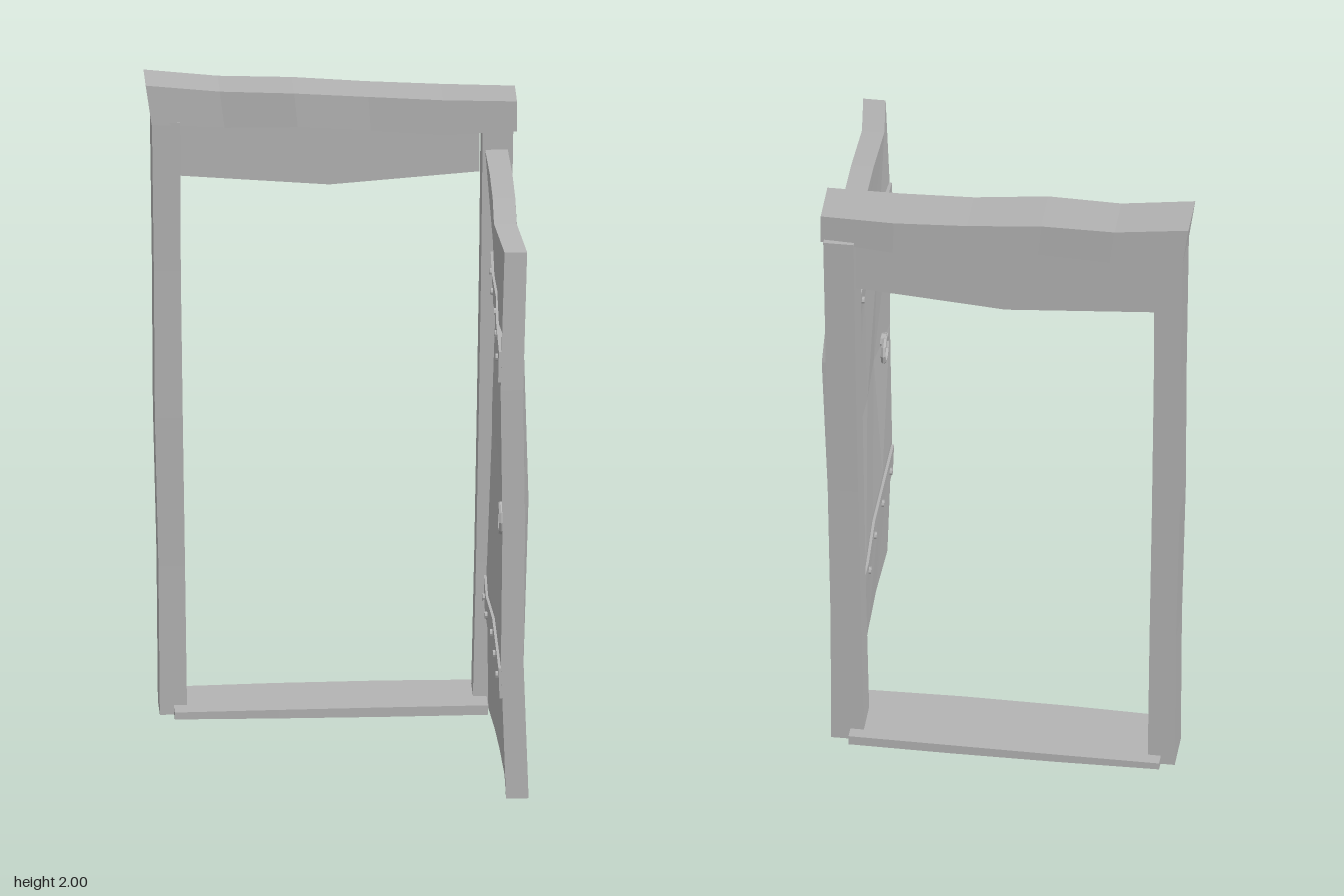
import * as THREE from 'three';

// Piecewise-linear lookup in an evenly spaced table, t from 0 to 1
function at(table, t) {
  const f = THREE.MathUtils.clamp(t, 0, 1) * (table.length - 1);
  const i = Math.min(Math.floor(f), table.length - 2);
  return THREE.MathUtils.lerp(table[i], table[i + 1], f - i);
}

// Unit box whose corners (u, v, w in 0..1) are moved by a rule
function warpedBox(segments, rule) {
  const geo = new THREE.BoxGeometry(1, 1, 1, ...segments);
  const pos = geo.attributes.position;
  for (let i = 0; i < pos.count; i++) {
    pos.setXYZ(i, ...rule(pos.getX(i) + 0.5, pos.getY(i) + 0.5, pos.getZ(i) + 0.5));
  }
  const flat = geo.toNonIndexed();
  flat.computeVertexNormals();
  return flat;
}

// Door surface: outer-face x by height (rows) and from hinge to free edge (columns)
const doorOuter = [
  [0.535, 0.545, 0.55, 0.555, 0.55],
  [0.53, 0.525, 0.535, 0.535, 0.535],
  [0.545, 0.555, 0.55, 0.56, 0.54],
  [0.56, 0.55, 0.555, 0.545, 0.535],
  [0.525, 0.53, 0.53, 0.525, 0.548],
];
const doorTop = [1.775, 1.765, 1.755, 1.74, 1.715];
const doorBottom = [0, 0.005, 0.012, 0.004, 0];
const hingeZ = [-0.345, -0.355, -0.365, -0.378, -0.335];
const freeZ = [0.503, 0.497, 0.487, 0.475, 0.45];

function doorPoint(u, v, w) {
  const x = at(doorOuter.map((row) => at(row, w)), v) - 0.068 * (1 - u);
  const y = THREE.MathUtils.lerp(at(doorBottom, w), at(doorTop, w), v);
  const z = THREE.MathUtils.lerp(at(hingeZ, v), at(freeZ, v), w);
  return [x, y, z];
}

export function createModel() {
  const model = new THREE.Group();
  model.name = 'openDoorway';
  const grey = new THREE.MeshStandardMaterial({ color: 0xb3b3b3 });
  grey.name = 'plain grey';
  grey.flatShading = true;

  const add = (name, geo, parent = model) => {
    const mesh = new THREE.Mesh(geo, grey);
    mesh.name = name;
    parent.add(mesh);
    return mesh;
  };

  // Crooked door posts
  const post = (x0, x1, z0, z1, height) => warpedBox([1, 4, 1], (u, v, w) => [
    THREE.MathUtils.lerp(at(x0, v), at(x1, v), u),
    v * height,
    THREE.MathUtils.lerp(at(z0, v), at(z1, v), w),
  ]);
  add('rightPost', post(
    [-0.522, -0.526, -0.537, -0.54, -0.546], [-0.44, -0.446, -0.453, -0.459, -0.461],
    [-0.46, -0.463, -0.462, -0.465, -0.466], [-0.325, -0.33, -0.325, -0.325, -0.32], 1.88));
  add('leftPost', post(
    [0.42, 0.43, 0.438, 0.445, 0.45], [0.52, 0.522, 0.53, 0.535, 0.542],
    [-0.46, -0.462, -0.465, -0.47, -0.477], [-0.345, -0.345, -0.342, -0.34, -0.335], 1.85));

  // Sagging lintel
  const lintelTop = [2, 1.975, 1.97, 1.952, 1.94, 1.935];
  const lintelBottom = [1.875, 1.86, 1.863, 1.845, 1.83, 1.84];
  const lintelBack = [-0.47, -0.475, -0.468, -0.472, -0.472, -0.46];
  const lintelFront = [-0.318, -0.326, -0.313, -0.324, -0.318, -0.312];
  add('lintel', warpedBox([5, 1, 1], (u, v, w) => [
    THREE.MathUtils.lerp(THREE.MathUtils.lerp(-0.547, -0.565, v), 0.552, u),
    THREE.MathUtils.lerp(at(lintelBottom, u), at(lintelTop, u), v),
    THREE.MathUtils.lerp(at(lintelBack, u), at(lintelFront, u), w),
  ]));

  // Board under the lintel, dipping in the middle
  add('headBoard', warpedBox([2, 1, 1], (u, v, w) => [
    -0.46 + u * 0.905,
    THREE.MathUtils.lerp(at([1.675, 1.64, 1.675], u), at([1.89, 1.875, 1.86], u), v),
    -0.455 + w * 0.025,
  ]));

  // Threshold, just clear of the ground
  add('threshold', warpedBox([3, 1, 1], (u, v, w) => [
    -0.48 + u * 0.942,
    0.008 + v * at([0.022, 0.027, 0.03, 0.03], u),
    THREE.MathUtils.lerp(at([-0.5, -0.504, -0.504, -0.5], u), at([-0.256, -0.252, -0.252, -0.258], u), w),
  ]));

  // Warped door leaf, swung fully open
  const door = new THREE.Group();
  door.name = 'door';
  model.add(door);
  add('doorLeaf', warpedBox([1, 4, 4], doorPoint), door);

  // Nailed straps across the inner face
  for (const [name, level] of [['lowerStrap', 0.21], ['upperStrap', 0.79]]) {
    add(name, warpedBox([1, 1, 8], (u, v, w) => {
      const [x, y, z] = doorPoint(0, level + (v - 0.5) * 0.055, 0.01 + w * 0.98);
      return [x - 0.008 + u * 0.016, y, z];
    }), door);
    for (let i = 0; i < 5; i++) {
      const [x, y, z] = doorPoint(0, level, 0.08 + i * 0.205);
      const nail = add('strapNail', new THREE.CylinderGeometry(0.011, 0.011, 0.012, 8), door);
      nail.rotation.z = Math.PI / 2;
      nail.position.set(x - 0.01, y, z);
    }
  }

  // Ring handle on a small plate
  const [hx, hy, hz] = doorPoint(0, 0.49, 0.87);
  const plate = add('handlePlate', new THREE.CylinderGeometry(0.022, 0.022, 0.016, 8), door);
  plate.rotation.z = Math.PI / 2;
  plate.position.set(hx - 0.006, hy + 0.03, hz);
  const ring = add('handleRing', new THREE.TorusGeometry(0.042, 0.008, 6, 10), door);
  ring.rotation.y = Math.PI / 2;
  ring.position.set(hx - 0.01, hy, hz);

  return model;
}
